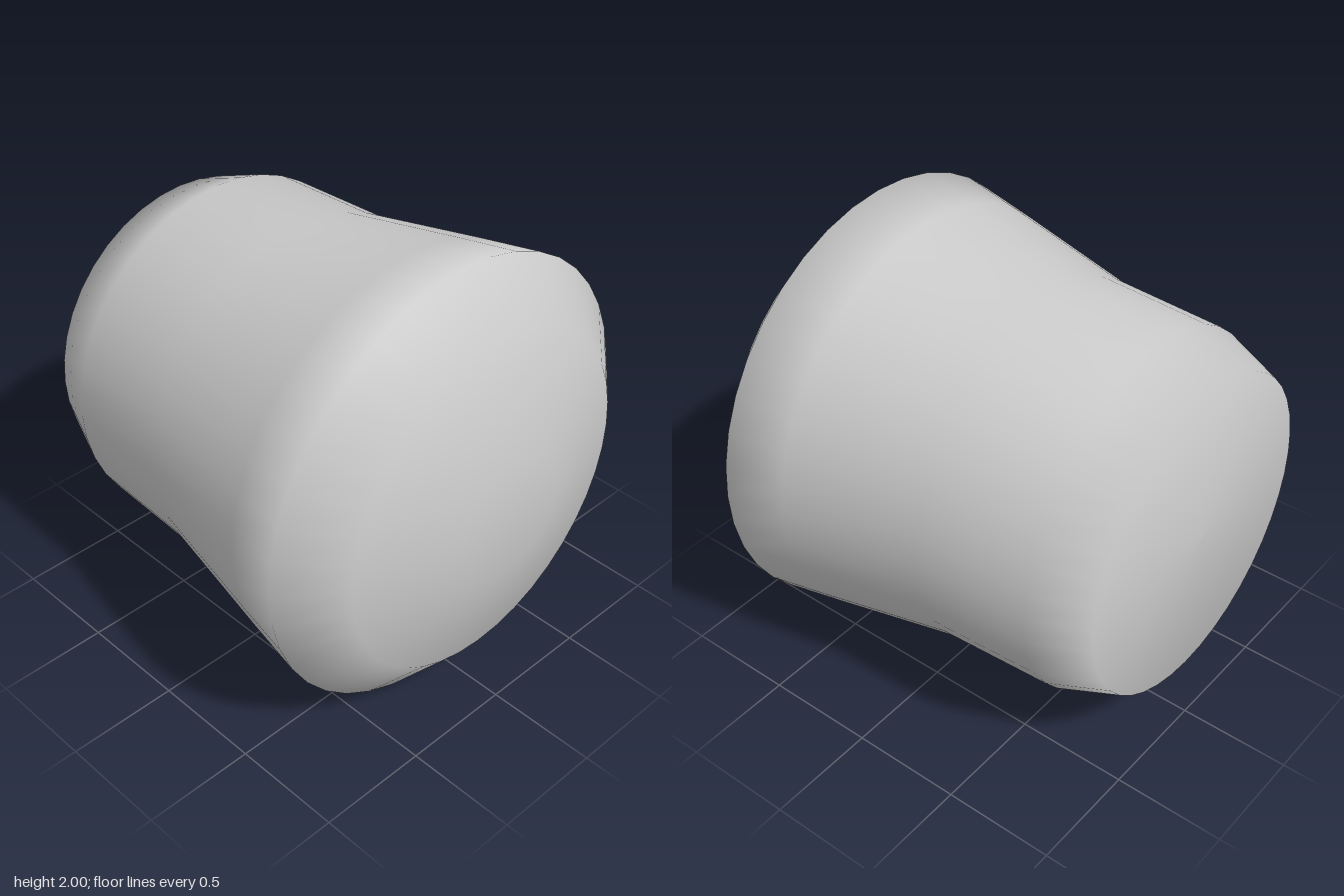
import * as THREE from 'three';

export function createModel() {
  const group = new THREE.Group();
  group.name = 'flaredKnob';

  // Profile from the back centre to the front centre: (radius, position along z)
  const profile = [
    [0, -1], [0.71, -0.98], [0.81, -0.72], [0.83, -0.2],
    [0.95, 0.41], [1, 0.68], [0.76, 0.88], [0.285, 1], [0, 1],
  ].map(([r, z]) => new THREE.Vector2(r, z));

  // Smooth turned body, laid so that its axis runs front to back
  const geometry = new THREE.LatheGeometry(profile, 40);
  geometry.rotateX(Math.PI / 2);
  geometry.translate(0, 1, 0);

  const body = new THREE.Mesh(geometry, new THREE.MeshStandardMaterial({ color: 0xcccccc }));
  body.name = 'knobBody';
  group.add(body);
  return group;
}
